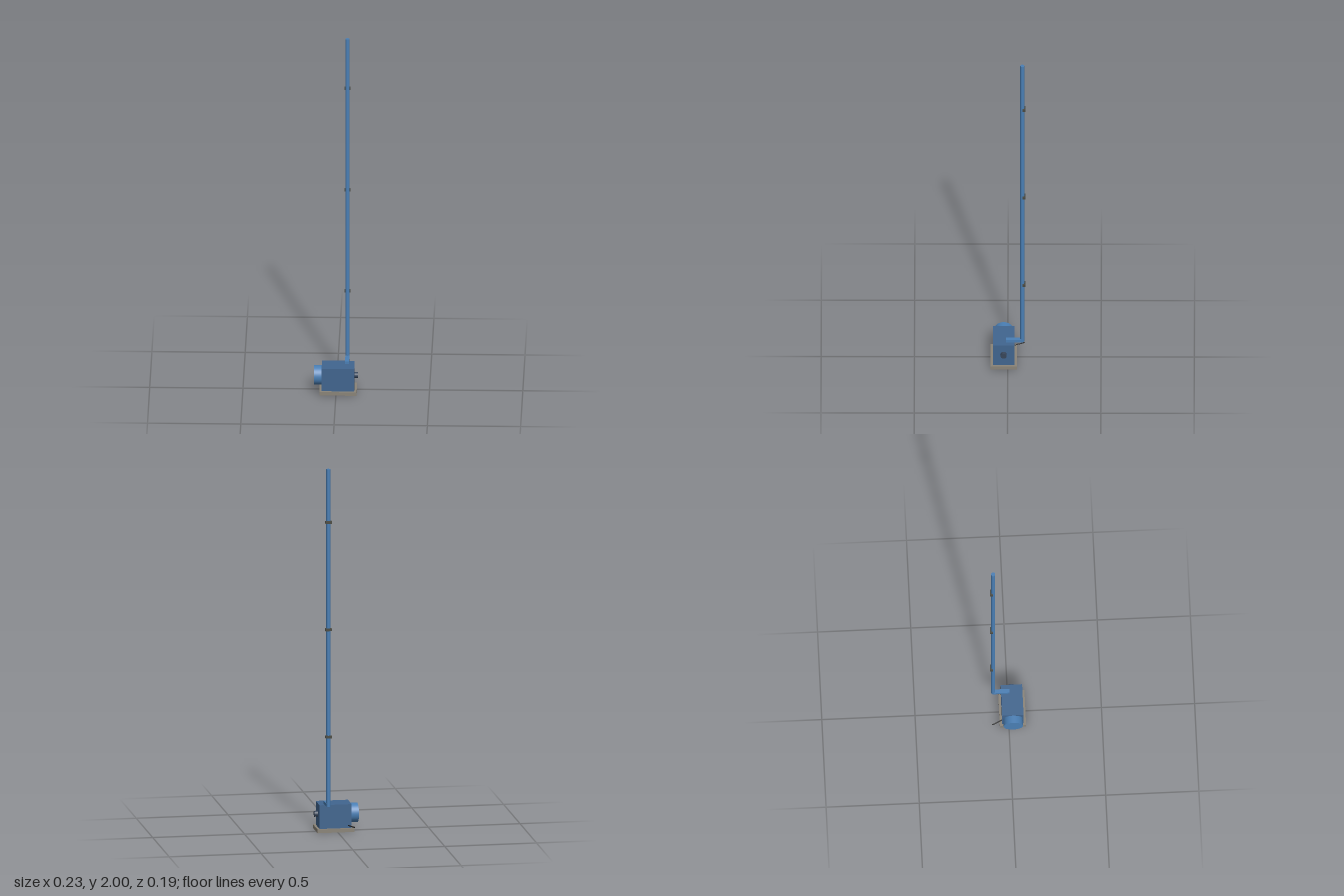
import * as THREE from 'three';

export function createModel() {
  const model = new THREE.Group();
  const mat = (color) => new THREE.MeshStandardMaterial({ color });
  const blue = mat(0x4a7fb5), bodyBlue = mat(0x41658f), stone = mat(0x8a8478);
  const dark = mat(0x4a4a42), steel = mat(0x38465a), black = mat(0x1c1c1c);

  const add = (name, geometry, material, x, y, z) => {
    const mesh = new THREE.Mesh(geometry, material);
    mesh.name = name;
    mesh.position.set(x, y, z);
    model.add(mesh);
    return mesh;
  };
  // box given by its minimum and maximum corners
  const box = (name, material, [x0, y0, z0], [x1, y1, z1]) =>
    add(name, new THREE.BoxGeometry(x1 - x0, y1 - y0, z1 - z0), material,
      (x0 + x1) / 2, (y0 + y1) / 2, (z0 + z1) / 2);
  // cylinder between two points
  const rod = (name, material, radius, a, b, sides = 32) => {
    const from = new THREE.Vector3(...a), to = new THREE.Vector3(...b);
    const mid = from.clone().lerp(to, 0.5), dir = to.clone().sub(from);
    const mesh = add(name, new THREE.CylinderGeometry(radius, radius, dir.length(), sides),
      material, mid.x, mid.y, mid.z);
    mesh.quaternion.setFromUnitVectors(new THREE.Vector3(0, 1, 0), dir.normalize());
    return mesh;
  };

  // plinth and housing
  box('basePlate', stone, [-0.089, 0, -0.049], [0.111, 0.02, 0.092]);
  box('housing', bodyBlue, [-0.077, 0.02, -0.036], [0.098, 0.15, 0.079]);

  // round drum on the right, small port on the left
  rod('drum', blue, 0.052, [-0.07, 0.092, 0.022], [-0.118, 0.092, 0.022], 48);
  rod('port', steel, 0.016, [0.09, 0.092, 0.022], [0.117, 0.092, 0.022]);

  // outlet duct leading back to the tall pipe
  box('outletDuct', blue, [0.047, 0.15, -0.078], [0.069, 0.166, 0.01]);
  rod('standPipe', blue, 0.011, [0.058, 0.15, -0.078], [0.058, 2, -0.078]);

  // wall brackets along the pipe
  for (const y of [0.534, 1.122, 1.71])
    box('pipeBracket', dark, [0.041, y - 0.007, -0.095], [0.075, y + 0.007, -0.079]);

  // cable leaving the back of the housing
  rod('cable', black, 0.003, [-0.058, 0.033, -0.032], [-0.084, 0.033, -0.09], 12);

  return model;
}
